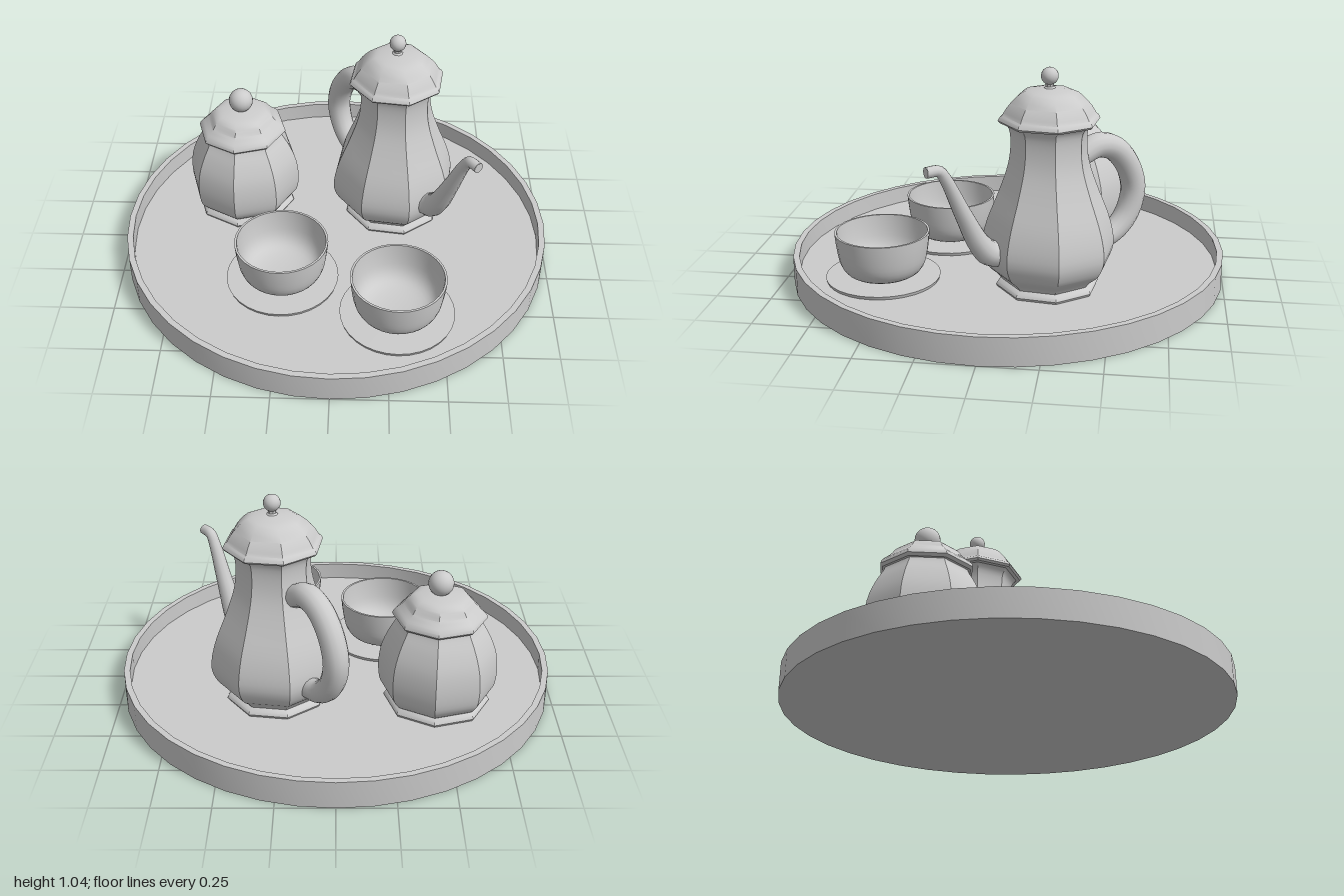
import * as THREE from 'three';
import { toCreasedNormals } from 'three/addons/utils/BufferGeometryUtils.js';

const FLOOR = 0.043;
const deg = THREE.MathUtils.degToRad;

const material = new THREE.MeshStandardMaterial({ color: 0xcccccc });

function part(name, geometry, y = 0) {
  const mesh = new THREE.Mesh(geometry, material);
  mesh.name = name;
  mesh.position.y = y;
  return mesh;
}

function group(name, x, z, turn, ...parts) {
  const g = new THREE.Group();
  g.name = name;
  g.position.set(x, 0, z);
  g.rotation.y = deg(turn);
  g.add(...parts);
  return g;
}

// Turned shape from [radius, y] pairs, bottom to top
function turned(profile, sides, phase = 0) {
  const points = profile.map(([r, y]) => new THREE.Vector2(r, y));
  return toCreasedNormals(new THREE.LatheGeometry(points, sides, deg(phase)), deg(34));
}

// Rounds a coarse profile
function rounded(profile, steps = 28) {
  const curve = new THREE.SplineCurve(profile.map(([r, y]) => new THREE.Vector2(r, y)));
  return curve.getPoints(steps).map((p) => [Math.max(p.x, 0), p.y]);
}

// Tapered tube in the local yz plane, from [z, y, radius] triples
function taperedTube(stations, steps, sides) {
  const path = new THREE.CatmullRomCurve3(stations.map(([z, y]) => new THREE.Vector3(0, y, z)), false, 'centripetal');
  const radii = new THREE.CatmullRomCurve3(stations.map(([z, y, r], i) => new THREE.Vector3(i, r, 0)));
  const geometry = new THREE.TubeGeometry(path, steps, 1, sides);
  const position = geometry.attributes.position;
  const v = new THREE.Vector3();
  for (let i = 0; i <= steps; i++) {
    const t = path.getUtoTmapping(i / steps);
    const center = path.getPoint(t);
    const radius = radii.getPoint(t).y;
    for (let j = 0; j <= sides; j++) {
      const k = i * (sides + 1) + j;
      v.fromBufferAttribute(position, k).sub(center).multiplyScalar(radius).add(center);
      position.setXYZ(k, v.x, v.y, v.z);
    }
  }
  return geometry;
}

function makeTray() {
  return part('tray', turned([
    [0, 0], [1, 0], [1, 0.127], [0.972, 0.127], [0.972, FLOOR], [0, FLOOR],
  ], 40));
}

function makePot() {
  const foot = [[0, FLOOR], [0.225, FLOOR], [0.232, 0.055], [0.225, 0.068]];
  const belly = rounded([
    [0.205, 0.08], [0.225, 0.105], [0.272, 0.15], [0.298, 0.23], [0.276, 0.35],
    [0.217, 0.5], [0.18, 0.61], [0.168, 0.7], [0.174, 0.77], [0.2, 0.805],
  ]);
  const body = part('potBody', turned([...foot, ...belly], 8, 22.5));

  const lid = part('potLid', turned([
    [0.18, 0.8], [0.215, 0.8], [0.223, 0.81], [0.215, 0.825],
    ...rounded([[0.205, 0.832], [0.178, 0.875], [0.125, 0.927], [0.075, 0.942], [0.025, 0.948]], 10),
    [0.018, 0.955], [0.018, 0.975],
  ], 8, 22.5));
  const knob = part('potKnob', new THREE.SphereGeometry(0.038, 16, 12), 1.0);

  const spout = part('spout', taperedTube([
    [0.2, 0.245, 0.06], [0.29, 0.25, 0.058], [0.345, 0.305, 0.05], [0.42, 0.45, 0.038],
    [0.5, 0.62, 0.027], [0.53, 0.66, 0.025], [0.59, 0.663, 0.024],
  ], 40, 12));
  const spoutTip = part('spoutTip', new THREE.CircleGeometry(0.024, 12), 0.663);
  spoutTip.position.z = 0.59;

  const handle = part('potHandle', taperedTube([
    [-0.14, 0.61, 0.05], [-0.25, 0.655, 0.057], [-0.34, 0.63, 0.057], [-0.42, 0.54, 0.057],
    [-0.455, 0.42, 0.057], [-0.42, 0.3, 0.055], [-0.34, 0.225, 0.052], [-0.23, 0.2, 0.05],
  ], 40, 14));

  return group('teapot', 0.273, -0.213, 37, body, lid, knob, spout, spoutTip, handle);
}

function makeSugarBowl() {
  const foot = [[0, FLOOR], [0.235, FLOOR], [0.242, 0.055], [0.235, 0.068]];
  const belly = rounded([
    [0.22, 0.08], [0.24, 0.1], [0.262, 0.14], [0.269, 0.22], [0.258, 0.31],
    [0.228, 0.39], [0.195, 0.45], [0.185, 0.475],
  ], 20);
  const body = part('sugarBowlBody', turned([...foot, ...belly], 8));
  const lid = part('sugarBowlLid', turned([
    [0.18, 0.468], [0.2, 0.468], [0.211, 0.48], [0.207, 0.495],
    ...rounded([[0.195, 0.508], [0.165, 0.535], [0.142, 0.565], [0.11, 0.584], [0.05, 0.594]], 12),
    [0, 0.598],
  ], 8));
  const knob = part('sugarBowlKnob', new THREE.SphereGeometry(0.057, 20, 14), 0.64);
  return group('sugarBowl', -0.46, -0.26, -6, body, lid, knob);
}

function makeCup(name, x, z) {
  const outside = rounded([[0.12, 0.06], [0.165, 0.082], [0.193, 0.127], [0.207, 0.2], [0.214, 0.268]], 12);
  const inside = rounded([[0.204, 0.268], [0.196, 0.2], [0.18, 0.135], [0.145, 0.095], [0.08, 0.078], [0, 0.074]], 14);
  const bowl = part('cupBowl', turned([[0, 0.06], ...outside, ...inside], 32));
  const saucer = part('saucer', turned([[0, FLOOR], [0.255, FLOOR], [0.26, 0.058], [0, 0.06]], 32));
  return group(name, x, z, 0, bowl, saucer);
}

export function createModel() {
  const model = new THREE.Group();
  model.name = 'teaSet';
  model.add(
    makeTray(),
    makePot(),
    makeSugarBowl(),
    makeCup('leftCup', 0.29, 0.535),
    makeCup('rightCup', -0.24, 0.315),
  );
  return model;
}
